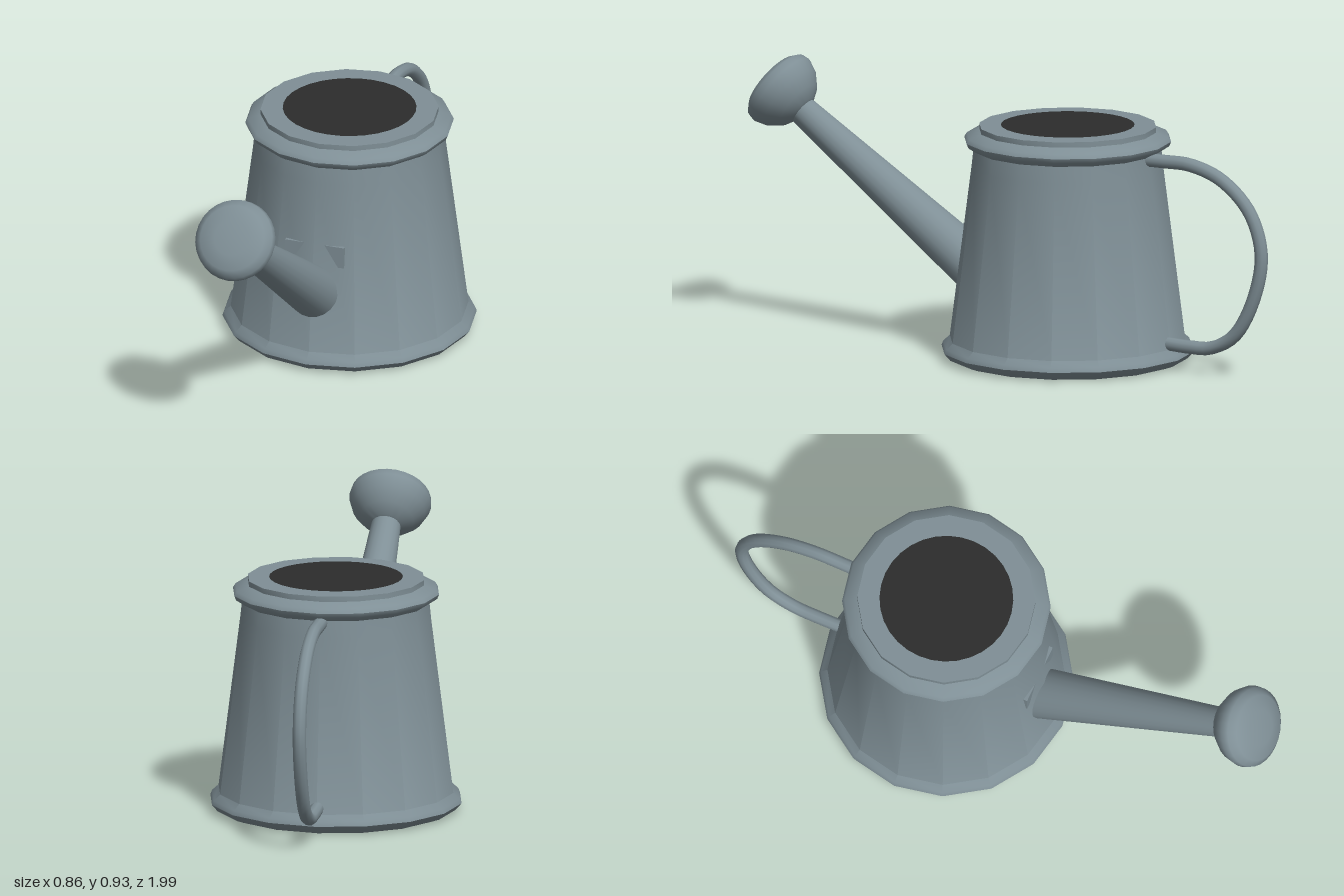
import * as THREE from 'three';
import { toCreasedNormals } from 'three/addons/utils/BufferGeometryUtils.js';

const BODY_Z = -0.222;          // centre of the can
const SPOUT_TILT = 0.963;       // angle of the spout from vertical, towards the front

export function createModel() {
  const group = new THREE.Group();
  const metal = new THREE.MeshStandardMaterial({ name: 'grey metal', color: 0x7f8f96 });
  const dark = new THREE.MeshStandardMaterial({ name: 'dark opening', color: 0x2c2c2c });

  const add = (name, geometry, material, x, y, z, tilt = 0) => {
    const mesh = new THREE.Mesh(geometry, material);
    mesh.name = name;
    mesh.position.set(x, y, z);
    mesh.rotation.x = tilt;
    group.add(mesh);
    return mesh;
  };
  const lathe = (profile, sides, crease) => toCreasedNormals(
    new THREE.LatheGeometry(profile.map(([r, y]) => new THREE.Vector2(r, y)), sides), crease);

  // Tapered can with a rolled foot, a rolled shoulder and a flat top lip
  add('body', lathe([
    [0, 0], [0.38, 0], [0.408, 0.01], [0.428, 0.033], [0.422, 0.048], [0.4, 0.068],
    [0.325, 0.66], [0.319, 0.718], [0.345, 0.735], [0.351, 0.75], [0.342, 0.764],
    [0.3, 0.78], [0.3, 0.798], [0, 0.798],
  ], 16, 0.75), metal, 0, 0, BODY_Z);

  // Dark filling hole
  const hole = new THREE.CircleGeometry(0.225, 32);
  hole.rotateX(-Math.PI / 2);
  add('opening', hole, dark, 0, 0.8, BODY_Z);

  // Small plate behind the spout
  add('spoutPlate', new THREE.BoxGeometry(0.21, 0.075, 0.03), metal, 0, 0.408, 0.108);

  // Spout, narrowing towards the head
  const from = new THREE.Vector3(0, 0.27, 0.13), to = new THREE.Vector3(0, 0.74, 0.806);
  const mid = from.clone().add(to).multiplyScalar(0.5);
  const spout = toCreasedNormals(
    new THREE.CylinderGeometry(0.05, 0.087, from.distanceTo(to), 20), 0.75);
  add('spout', spout, metal, mid.x, mid.y, mid.z, SPOUT_TILT);

  // Mushroom-shaped sprinkler head
  add('sprinklerHead', lathe([
    [0, -0.11], [0.05, -0.103], [0.09, -0.08], [0.124, -0.04], [0.139, 0],
    [0.135, 0.025], [0.112, 0.044], [0.06, 0.053], [0, 0.055],
  ], 28, 1), metal, 0, 0.805, 0.893, SPOUT_TILT);

  // Looped handle at the back
  const path = new THREE.CatmullRomCurve3([
    [0.71, -0.5], [0.711, -0.6], [0.709, -0.7], [0.67, -0.82], [0.57, -0.93], [0.43, -0.976],
    [0.27, -0.945], [0.14, -0.87], [0.09, -0.78], [0.085, -0.7], [0.09, -0.58],
  ].map(([y, z]) => new THREE.Vector3(0, y, z)));
  add('handle', new THREE.TubeGeometry(path, 48, 0.023, 10), metal, 0, 0, 0);

  return group;
}
